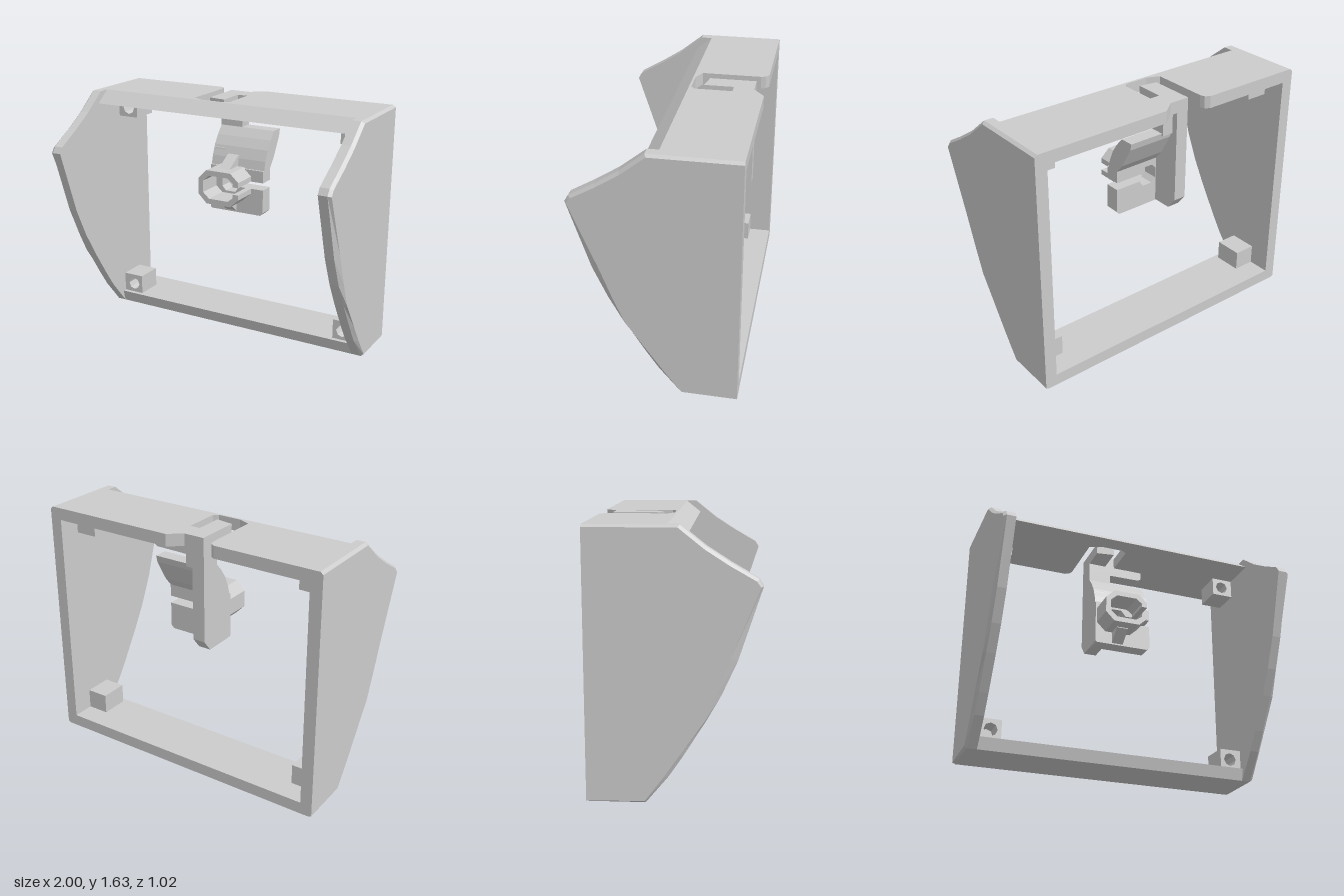
import * as THREE from 'three';

const material = new THREE.MeshStandardMaterial({ color: 0xcccccc, flatShading: true });

const toShape = (pts) => new THREE.Shape(pts.map(([a, b]) => new THREE.Vector2(a, b)));
const extrude = (shape, depth) => new THREE.ExtrudeGeometry(shape, { depth, bevelEnabled: false });

// (x, y) outline pushed from z0 to z1
const alongZ = (pts, z0, z1) => extrude(toShape(pts), z1 - z0).translate(0, 0, z0);
// (z, y) outline pushed from x0 to x1
const alongX = (pts, x0, x1) => extrude(toShape(pts), x1 - x0).rotateY(-Math.PI / 2).translate(x1, 0, 0);
// (x, z) outline pushed from y0 to y1
const alongY = (pts, y0, y1) => extrude(toShape(pts), y1 - y0).rotateX(Math.PI / 2).translate(0, y1, 0);

// Closed solid through matching (z, y) outlines placed at rising x
function loftX(rings) {
  const n = rings[0].pts.length;
  const position = rings.flatMap(({ x, pts }) => pts.flatMap(([z, y]) => [x, y, z]));
  const index = [];
  for (let r = 0; r < rings.length - 1; r++) {
    for (let i = 0; i < n; i++) {
      const j = (i + 1) % n, a = r * n + i, b = r * n + j;
      index.push(a, a + n, b, b, a + n, b + n);
    }
  }
  const caps = THREE.ShapeUtils.triangulateShape(rings[0].pts.map(([z, y]) => new THREE.Vector2(z, y)), []);
  const last = (rings.length - 1) * n;
  for (const [a, b, c] of caps) {
    index.push(a, b, c);
    index.push(last + a, last + c, last + b);
  }
  const g = new THREE.BufferGeometry();
  g.setAttribute('position', new THREE.Float32BufferAttribute(position, 3));
  g.setIndex(index);
  const flat = g.toNonIndexed();
  flat.computeVertexNormals();
  return flat;
}

export function createModel() {
  const model = new THREE.Group();
  model.name = 'displayBracket';
  const add = (name, geometry, parent = model) => {
    const mesh = new THREE.Mesh(geometry, material);
    mesh.name = name;
    parent.add(mesh);
    return mesh;
  };

  // Side walls: the outer face is drawn in along the front edge
  const sideFull = [[-0.51, 0], [-0.16, 0], [-0.02, 0.17], [0.06, 0.29], [0.19, 0.5], [0.28, 0.66], [0.37, 0.86],
    [0.51, 1.29], [0.485, 1.33], [0.33, 1.42], [0.19, 1.51], [0.04, 1.63], [-0.51, 1.63]];
  const sideOuter = [[-0.51, 0.01], [-0.165, 0.015], [-0.06, 0.155], [0.04, 0.3], [0.18, 0.5], [0.25, 0.67], [0.33, 0.88],
    [0.495, 1.285], [0.47, 1.32], [0.32, 1.405], [0.18, 1.495], [0.03, 1.615], [-0.51, 1.615]];
  const sideWall = loftX([{ x: 0.92, pts: sideFull }, { x: 0.98, pts: sideFull }, { x: 1, pts: sideOuter }]);
  add('leftWall', sideWall);
  add('rightWall', sideWall).scale.x = -1;

  // Floor and roof; the roof has a hooked slot that frees a tongue
  add('bottomWall', alongX([[-0.51, 0], [-0.16, 0], [-0.14, 0.08], [-0.51, 0.08]], -0.93, 0.93));
  add('topWall', alongY([
    [-0.93, -0.51], [-0.28, -0.51], [-0.25, -0.49], [-0.24, -0.46], [-0.24, -0.08], [-0.16, -0.045], [0, -0.045],
    [0.03, -0.07], [0.03, -0.31], [-0.04, -0.31], [-0.04, -0.12], [-0.16, -0.14], [-0.16, -0.44],
    [-0.02, -0.44], [0.07, -0.51], [0.93, -0.51], [0.93, -0.03], [-0.93, -0.03],
  ], 1.55, 1.63));
  add('topWallSlope', alongX([[-0.03, 1.55], [0.07, 1.55], [-0.03, 1.63]], -0.93, 0.93));

  // Screw bosses with blind holes in the four corners
  for (const sx of [1, -1]) {
    for (const [y0, y1, cy] of [[0.07, 0.215, 0.145], [1.42, 1.56, 1.485]]) {
      const boss = new THREE.Group();
      boss.name = 'screwBoss';
      boss.scale.x = sx;
      const face = toShape([[0.77, y0], [0.93, y0], [0.93, y1], [0.77, y1]]);
      const hole = [];
      for (let i = 0; i < 8; i++) {
        const a = -i * Math.PI / 4;
        hole.push(new THREE.Vector2(0.84 + 0.045 * Math.cos(a), cy + 0.045 * Math.sin(a)));
      }
      face.holes.push(new THREE.Path(hole));
      add('bossFront', extrude(face, 0.13).translate(0, 0, -0.3), boss);
      add('bossBack', new THREE.BoxGeometry(0.16, y1 - y0, 0.06).translate(0.85, (y0 + y1) / 2, -0.33), boss);
      model.add(boss);
    }
  }

  // Hanging clip: arm below the tongue, then its finger and neck
  const clip = new THREE.Group();
  clip.name = 'hangingClip';
  model.add(clip);
  add('clipArm', alongX([
    [-0.44, 1.56], [-0.44, 0.94], [-0.38, 0.865], [-0.18, 0.865], [-0.155, 0.89],
    [-0.155, 1.12], [-0.2, 1.28], [-0.3, 1.41], [-0.3, 1.56],
  ], -0.16, -0.075), clip);
  add('clipNeck', new THREE.BoxGeometry(0.16, 0.16, 0.1).translate(-0.08, 1.48, -0.35), clip);
  add('clipFinger', alongZ([[-0.16, 1.48], [0.22, 1.485], [0.24, 1.5], [0.24, 1.56], [-0.16, 1.56]], -0.4, -0.3), clip);

  // Curved upper plate leaning back
  add('upperPlate', alongX([
    [-0.25, 1.17], [-0.165, 1.17], [-0.18, 1.23], [-0.21, 1.3], [-0.25, 1.36],
    [-0.3, 1.415], [-0.39, 1.415], [-0.38, 1.37], [-0.3, 1.23],
  ], -0.16, 0.24), clip);

  // Lower plate with a throat open to one side
  add('lowerPlate', alongZ([
    [-0.15, 0.86], [0.22, 0.86], [0.24, 0.88], [0.24, 1.04], [0.06, 1.04], [0.03, 1], [-0.04, 1], [-0.07, 1.03],
    [-0.07, 1.1], [-0.04, 1.13], [0.03, 1.13], [0.06, 1.09], [0.24, 1.09], [0.24, 1.17], [-0.16, 1.17], [-0.16, 0.87],
  ], -0.25, -0.15), clip);

  // Slit eight-sided socket
  const outerHalf = [[0.15, 0.025], [0.15, 0.06], [0.09, 0.115], [-0.09, 0.115], [-0.15, 0.055]];
  const innerHalf = [[0.11, 0.025], [0.11, 0.05], [0.07, 0.08], [-0.07, 0.08], [-0.115, 0.04]];
  const flip = (pts) => pts.map(([x, y]) => [x, -y]);
  const ring = [...outerHalf, ...flip(outerHalf).reverse(), ...flip(innerHalf), ...[...innerHalf].reverse()];
  add('socket', alongZ(ring, -0.16, 0.03).translate(0, 1.065, 0), clip);

  // Wedge ribs above and below the socket
  add('upperRib', alongX([[-0.2, 1.17], [-0.05, 1.17], [-0.05, 1.18], [-0.17, 1.25], [-0.2, 1.25]], -0.04, 0.04), clip);
  add('lowerRib', alongX([[-0.17, 0.87], [-0.15, 0.87], [-0.05, 0.945], [-0.05, 0.96], [-0.17, 0.96]], -0.04, 0.04), clip);

  return model;
}
